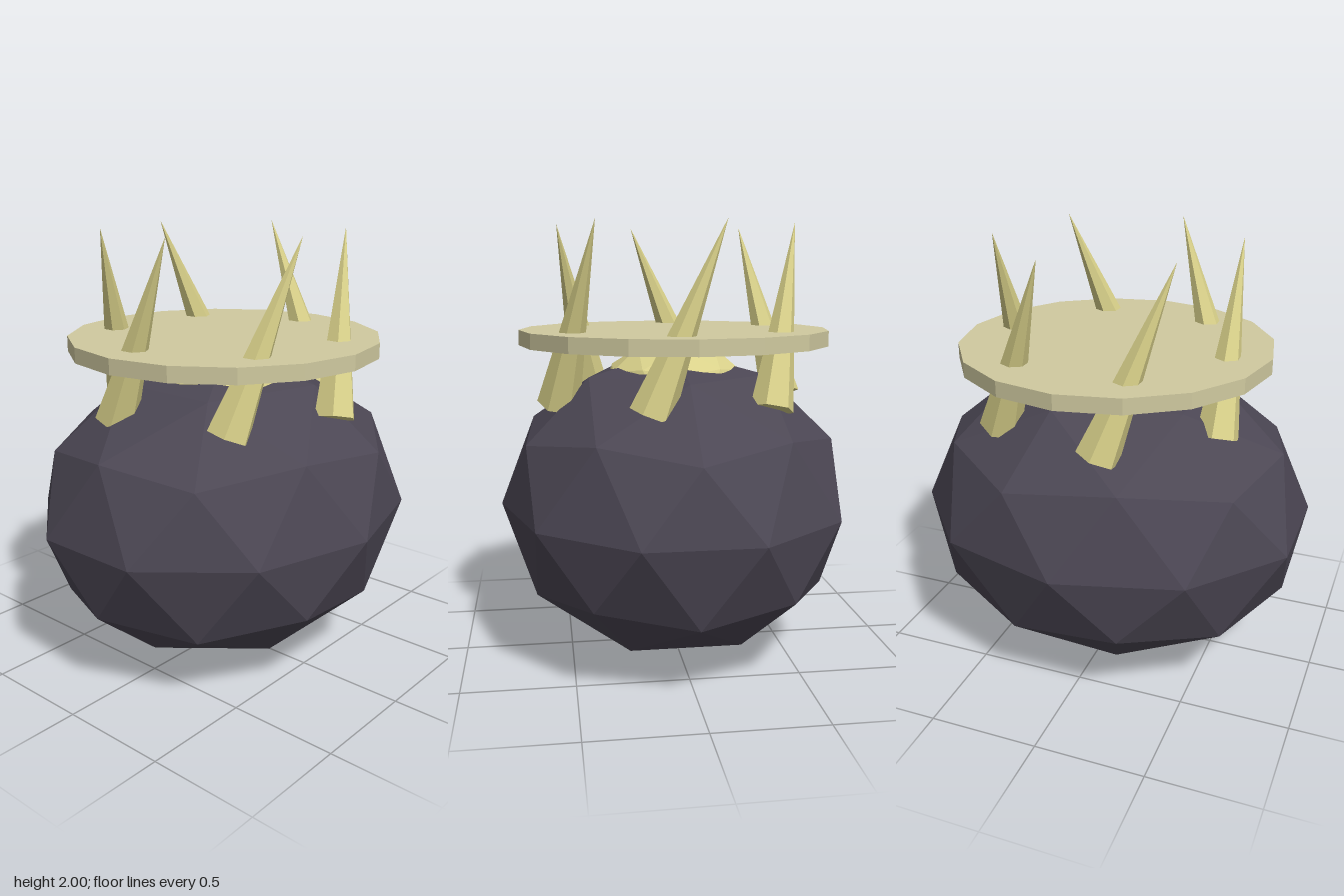
import * as THREE from 'three';

const material = (name, color) => {
  const m = new THREE.MeshStandardMaterial({ color });
  m.name = name;
  return m;
};

// Split every face so each one is shaded flat
function faceted(geometry) {
  const g = geometry.index ? geometry.toNonIndexed() : geometry;
  g.computeVertexNormals();
  return g;
}

// 80-sided ball with a corner straight up and a neighbouring corner toward +x
function facetedBall(rx, ry, rz) {
  const g = new THREE.IcosahedronGeometry(1, 1);
  g.rotateZ(-Math.atan(2 / (1 + Math.sqrt(5))));
  g.scale(rx, ry, rz);
  return faceted(g);
}

export function createModel() {
  const model = new THREE.Group();
  const dark = material('dark purple grey', 0x4c4754);
  const bone = material('bone yellow', 0xd9d18a);
  const pale = material('pale disc', 0xd0caa0);

  const add = (name, geometry, mat, y, parent = model) => {
    const mesh = new THREE.Mesh(geometry, mat);
    mesh.name = name;
    mesh.position.y = y;
    parent.add(mesh);
    return mesh;
  };

  // Squashed round body and the small dome on its crown
  add('body', facetedBall(0.936, 0.71, 0.816), dark, 0.71);
  add('crownDome', facetedBall(0.36, 0.27, 0.35), bone, 1.21);

  // Sixteen-sided disc
  add('disc', faceted(new THREE.CylinderGeometry(0.718, 0.718, 0.07, 16)), pale, 1.485);

  // Ring of six spikes, each leaning along the ring
  const spikeGeometry = faceted(new THREE.ConeGeometry(0.098, 0.87, 6));
  for (let i = 0; i < 6; i++) {
    const holder = new THREE.Group();
    holder.name = 'spikeHolder' + (i + 1);
    holder.rotation.y = (i * Math.PI) / 3;
    const spike = add('spike', spikeGeometry, bone, 1.595, holder);
    spike.position.x = 0.53;
    spike.position.z = 0.01;
    spike.rotation.x = -0.375;
    model.add(holder);
  }
  return model;
}
